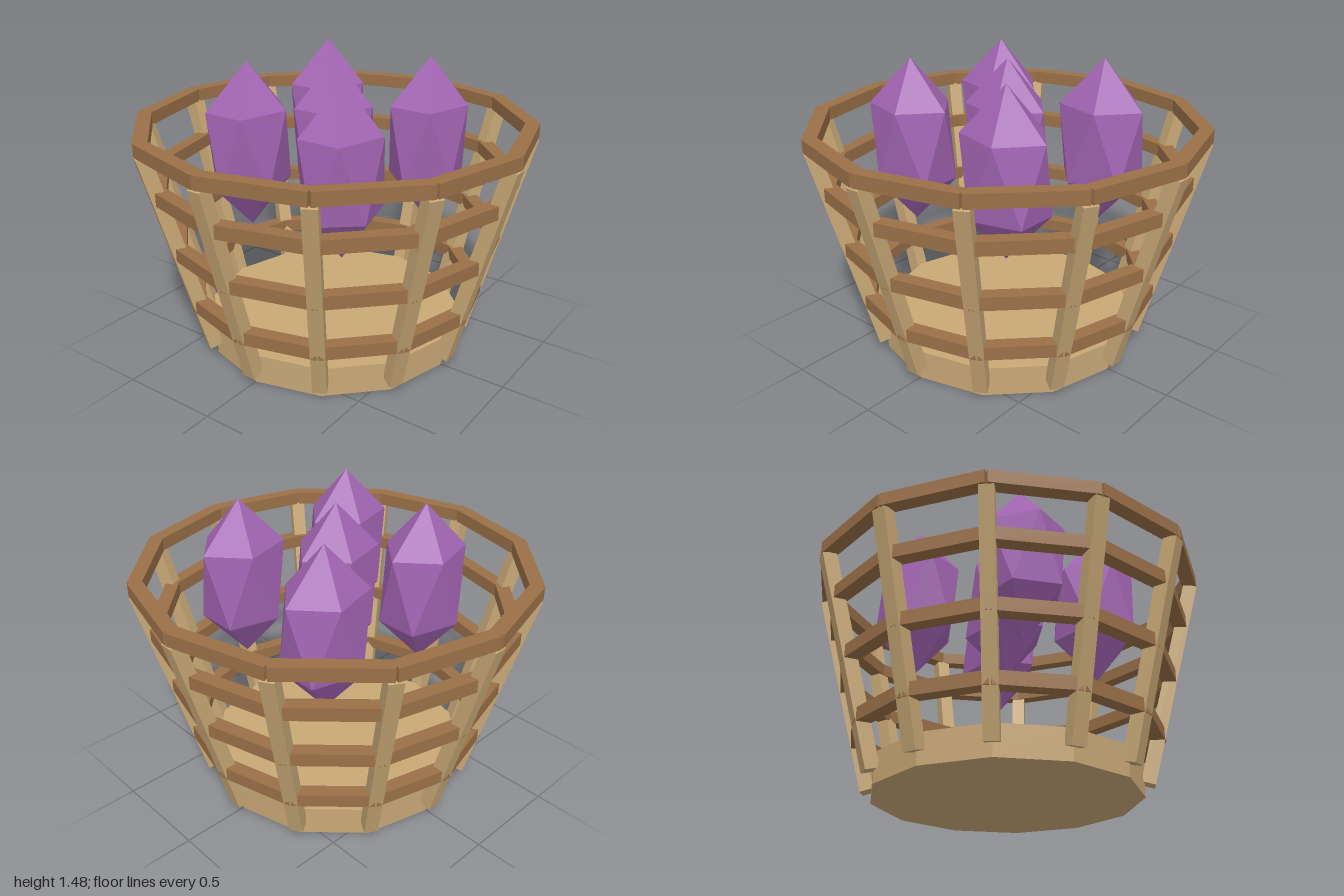
import * as THREE from 'three';

const SIDES = 12;
const STEP = (Math.PI * 2) / SIDES;
const BAR = 0.07;

function material(name, color) {
  const m = new THREE.MeshStandardMaterial({ color, flatShading: true });
  m.name = name;
  return m;
}

export function createModel() {
  const paleWood = material('pale wood', 0xc8a876);
  const darkWood = material('dark wood', 0x9a7048);
  const purple = material('purple crystal', 0xa264b2);

  const model = new THREE.Group();
  model.name = 'crystalBasket';

  const add = (parent, name, geometry, mat) => {
    const mesh = new THREE.Mesh(geometry, mat);
    mesh.name = name;
    parent.add(mesh);
    return mesh;
  };

  // Solid twelve-sided base
  const base = add(model, 'base', new THREE.CylinderGeometry(0.66, 0.66, 0.15, SIDES), paleWood);
  base.position.y = 0.075;

  // Slats leaning outward, one on each corner of the base
  const slats = new THREE.Group();
  slats.name = 'slats';
  model.add(slats);
  const low = new THREE.Vector2(0.675, 0.06);
  const high = new THREE.Vector2(0.963, 1.115);
  const slatGeometry = new THREE.BoxGeometry(BAR, low.distanceTo(high), BAR);
  slatGeometry.rotateX(Math.atan2(high.x - low.x, high.y - low.y));
  slatGeometry.translate(0, (low.y + high.y) / 2, (low.x + high.x) / 2);
  for (let i = 0; i < SIDES; i++) {
    add(slats, 'slat', slatGeometry, paleWood).rotation.y = i * STEP;
  }

  // Hoops of straight bars joining neighbouring slats: [height, corner radius]
  const hoops = [[0.305, 0.742], [0.607, 0.82], [0.907, 0.896], [1.147, 0.965]];
  for (const [y, radius] of hoops) {
    const hoop = new THREE.Group();
    hoop.name = 'hoop';
    model.add(hoop);
    const length = 2 * radius * Math.sin(STEP / 2) + 0.006;
    const bar = new THREE.BoxGeometry(length, 0.066, BAR);
    bar.translate(0, y, radius * Math.cos(STEP / 2));
    for (let i = 0; i < SIDES; i++) {
      add(hoop, 'hoopBar', bar, darkWood).rotation.y = (i + 0.5) * STEP;
    }
  }

  // Tall crystals: icosahedra stood on a point and stretched
  const crystalGeometry = new THREE.IcosahedronGeometry(0.42, 0);
  crystalGeometry.rotateZ(-Math.atan(2 / (1 + Math.sqrt(5))));
  crystalGeometry.scale(0.6, 1, 0.5);
  const spots = [[0, 0], [0.36, -0.3], [-0.3, -0.3], [-0.36, 0.3], [0.3, 0.36]];
  for (const [x, z] of spots) {
    add(model, 'crystal', crystalGeometry, purple).position.set(x, 1.06, z);
  }

  return model;
}
